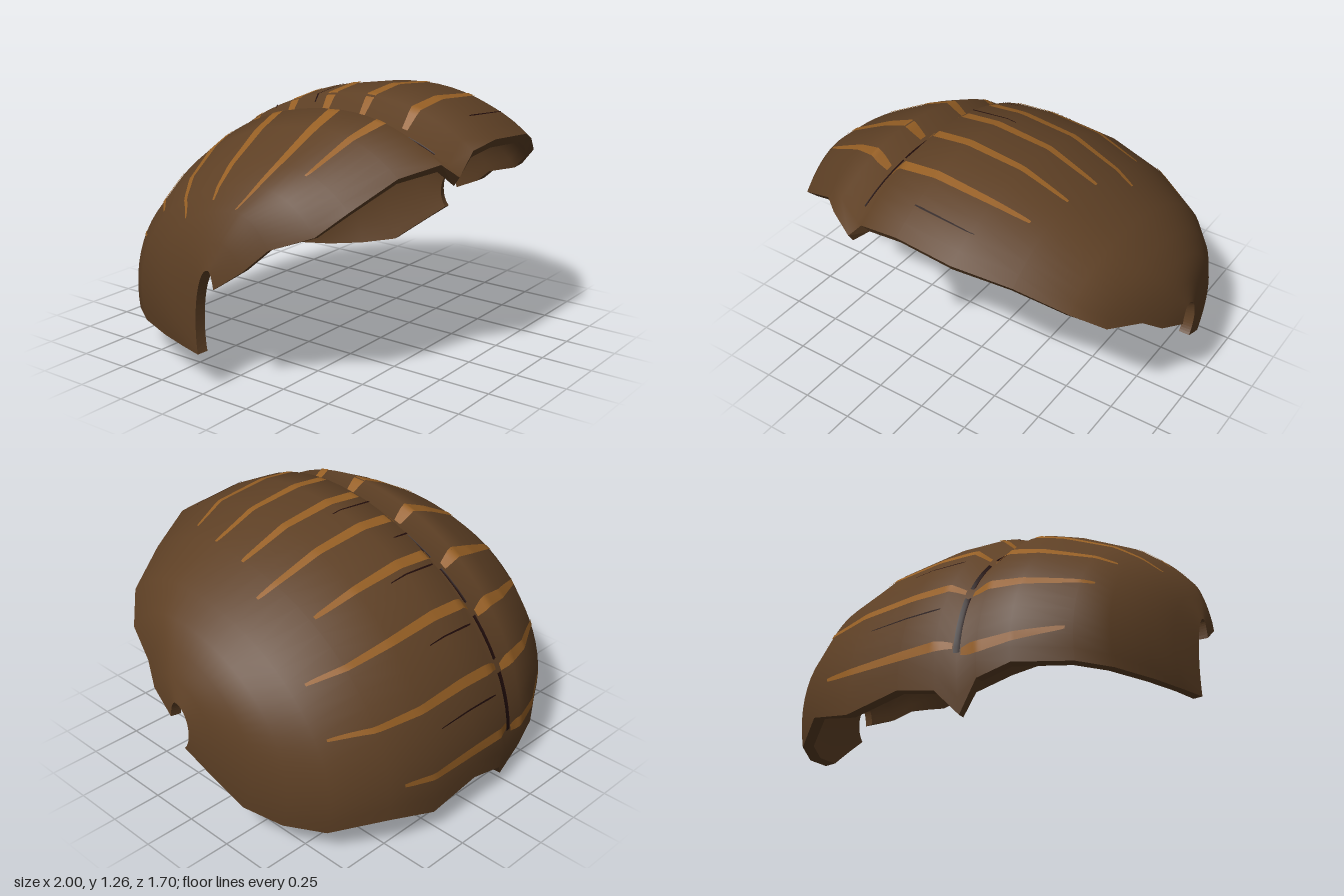
import * as THREE from 'three';

const hairBrown = new THREE.MeshStandardMaterial({ color: 0x5e4025 });
const streakAmber = new THREE.MeshStandardMaterial({ color: 0x965f24 });
const partingDark = new THREE.MeshStandardMaterial({ color: 0x200c0a });
hairBrown.name = 'hairBrown';
streakAmber.name = 'streakAmber';
partingDark.name = 'partingDark';

// Front-to-back arcs: x, top y, centre z, centre y, front edge z, front edge y, rearmost z, lower edge y
const ARCS = [
  [-1, 0.58, 0.05, 0.3, 0.08, 0.5, -0.03, 0.18],
  [-0.97, 0.7, 0.1, 0.38, 0.22, 0.6, -0.2, 0.18],
  [-0.92, 0.83, 0.15, 0.38, 0.32, 0.7, -0.35, 0.18],
  [-0.84, 0.93, 0.22, 0.33, 0.5, 0.77, -0.52, 0.18],
  [-0.74, 1.02, 0.27, 0.28, 0.6, 0.87, -0.65, 0.18],
  [-0.52, 1.14, 0.29, 0.23, 0.69, 0.98, -0.78, 0.18],
  [-0.38, 1.2, 0.3, 0.2, 0.81, 1.03, -0.82, 0.13],
  [-0.28, 1.13, 0.3, 0.2, 0.84, 0.96, -0.82, 0],
  [-0.19, 1.24, 0.3, 0.2, 0.85, 1.06, -0.855, 0.11],
  [0, 1.26, 0.3, 0.2, 0.85, 1.075, -0.855, 0.155],
  [0.28, 1.23, 0.3, 0.2, 0.85, 1.05, -0.855, 0.11],
  [0.52, 1.14, 0.3, 0.24, 0.75, 0.97, -0.8, 0.17],
  [0.74, 1.02, 0.28, 0.28, 0.65, 0.86, -0.65, 0.13],
  [0.85, 0.92, 0.22, 0.33, 0.53, 0.75, -0.5, 0.14],
  [0.92, 0.83, 0.15, 0.4, 0.34, 0.68, -0.35, 0.18],
  [0.97, 0.72, 0.1, 0.45, 0.24, 0.6, -0.15, 0.31],
  [1, 0.62, 0.05, 0.5, 0.09, 0.53, -0.03, 0.4],
];
const COLS = ARCS.length - 1, ROWS = 30, THICK = 0.05, SEAM = -0.28;
const lerp = THREE.MathUtils.lerp;

// Start and end angle of each arc, measured from straight up (front is negative)
const SPANS = ARCS.map(([, top, , yc, , yF, , yB]) =>
  [-Math.acos((yF - yc) / (top - yc)), Math.acos((yB - yc) / (top - yc))]);

function arcPoint(i, t) {
  const [x, top, zc, yc, zF, , zB] = ARCS[i];
  const [a0, a1] = SPANS[i];
  const a = lerp(a0, a1, t);
  const rz = a < 0 ? (zF - zc) / Math.sin(-a0) : zc - zB;
  return new THREE.Vector3(x, yc + (top - yc) * Math.cos(a), zc - rz * Math.sin(a));
}

// Surface sheet from fn(s, t); s runs toward +x and t toward the back
function sheet(fn, ns, nt, inward = false) {
  const pos = [], index = [];
  for (let i = 0; i <= ns; i++)
    for (let j = 0; j <= nt; j++) pos.push(...fn(i / ns, j / nt).toArray());
  for (let i = 0; i < ns; i++)
    for (let j = 0; j < nt; j++) {
      const a = i * (nt + 1) + j, b = a + nt + 1;
      if (inward) index.push(a, a + 1, b, b, a + 1, b + 1);
      else index.push(a, b, a + 1, b, b + 1, a + 1);
    }
  const g = new THREE.BufferGeometry();
  g.setAttribute('position', new THREE.Float32BufferAttribute(pos, 3));
  g.setIndex(index);
  g.computeVertexNormals();
  return g;
}

const outerGeo = sheet((s, t) => arcPoint(Math.round(s * COLS), t), COLS, ROWS);

// Point of the shell at column u and row fraction t, pushed along the normal
function shellPoint(u, t, offset) {
  const i = Math.min(Math.floor(u), COLS - 1);
  const v = THREE.MathUtils.clamp(t, 0, 1) * ROWS;
  const j = Math.min(Math.floor(v), ROWS - 1);
  const read = (name, a, b) =>
    new THREE.Vector3().fromBufferAttribute(outerGeo.attributes[name], a * (ROWS + 1) + b);
  const mix = (name) => read(name, i, j).lerp(read(name, i, j + 1), v - j)
    .lerp(read(name, i + 1, j).lerp(read(name, i + 1, j + 1), v - j), u - i);
  return mix('position').addScaledVector(mix('normal').normalize(), offset);
}

function columnAt(x) {
  let i = 0;
  while (i < COLS - 1 && x > ARCS[i + 1][0]) i++;
  return i + (x - ARCS[i][0]) / (ARCS[i + 1][0] - ARCS[i][0]);
}

// Same, addressed by x and by angle
function pointAtAngle(x, angle, offset) {
  const u = columnAt(x), i = Math.min(Math.floor(u), COLS - 1), f = u - i;
  const a0 = lerp(SPANS[i][0], SPANS[i + 1][0], f);
  const a1 = lerp(SPANS[i][1], SPANS[i + 1][1], f);
  return shellPoint(u, (angle - a0) / (a1 - a0), offset);
}

// Flat rim joining the outer and inner shells around the whole edge
function rimGeometry() {
  const loop = [];
  for (let i = 0; i < COLS; i++) loop.push([i, 0]);
  for (let j = 0; j < ROWS; j++) loop.push([COLS, j / ROWS]);
  for (let i = COLS; i > 0; i--) loop.push([i, 1]);
  for (let j = ROWS; j > 0; j--) loop.push([0, j / ROWS]);
  const pos = [];
  loop.forEach((p, k) => {
    const q = loop[(k + 1) % loop.length];
    const a = shellPoint(...p, 0), b = shellPoint(...q, 0);
    const c = shellPoint(...p, -THICK), d = shellPoint(...q, -THICK);
    for (const w of [a, c, d, a, d, b]) pos.push(...w.toArray());
  });
  const g = new THREE.BufferGeometry();
  g.setAttribute('position', new THREE.Float32BufferAttribute(pos, 3));
  g.computeVertexNormals();
  return g;
}

export function createModel() {
  const model = new THREE.Group();
  model.name = 'hairShell';
  const add = (name, geometry, material) => {
    const mesh = new THREE.Mesh(geometry, material);
    mesh.name = name;
    model.add(mesh);
  };

  add('outerHair', outerGeo, hairBrown);
  add('innerHair', sheet((s, t) => shellPoint(s * COLS, t, -THICK), COLS, ROWS, true), hairBrown);
  add('hairRim', rimGeometry(), hairBrown);

  // Painted strokes appear on both the outside and the inside
  const faces = [['outer', 0.004, false], ['inner', -THICK - 0.004, true]];
  const stroke = (name, from, to, degrees, width, material) => {
    const x0 = Math.min(from, to), x1 = Math.max(from, to);
    for (const [side, offset, inward] of faces)
      add(side + name, sheet((s, t) => {
        const x = lerp(x0, x1, s);
        const along = (x - from) / (to - from);
        const w = width * (0.3 + 0.7 * Math.sqrt(1 - along)) * Math.min(1, 0.6 + along * 4);
        return pointAtAngle(x, THREE.MathUtils.degToRad(degrees) + (t - 0.5) * w, offset);
      }, 28, 2, inward), material);
  };

  // Amber streaks fanning out from the parting: angle in degrees, end x
  const leftStreaks = [[-15, 0.45], [-1, 0.51], [10, 0.53], [21, 0.61], [34, 0.5],
    [48.5, 0.68], [66, 0.7], [84, 0.44]];
  const rightStreaks = [[-13, -0.75], [2, -0.91], [19, -0.88], [36, -0.91], [51, -0.81],
    [67, -0.78], [86, -0.71]];
  for (const [deg, end] of leftStreaks) stroke('LeftStreak', -0.26, end, deg, 0.05, streakAmber);
  for (const [deg, end] of rightStreaks) stroke('RightStreak', -0.3, end, deg, 0.06, streakAmber);

  // Thin dark strands: angle, start x, end x
  const strands = [[14, -0.22, 0.05], [27, -0.2, -0.1], [37, -0.18, 0.1], [54, -0.18, 0.1],
    [73, -0.18, 0.2], [-25, 0, 0.3]];
  for (const [deg, from, to] of strands) stroke('DarkStrand', from, to, deg, 0.009, partingDark);

  // Dark parting line in the crease: start angle, end angle, half width
  const crease = [[-26, -8, 0.005], [-7, 8, 0.006], [11, 32, 0.008], [36, 47, 0.01],
    [51, 64, 0.012], [68, 86, 0.015]];
  for (const [a0, a1, half] of crease)
    for (const [side, offset, inward] of faces)
      add(side + 'PartingLine', sheet((s, t) => pointAtAngle(SEAM + (s * 2 - 1) * half,
        THREE.MathUtils.degToRad(lerp(a0, a1, t)), offset), 2, 10, inward), partingDark);

  return model;
}
